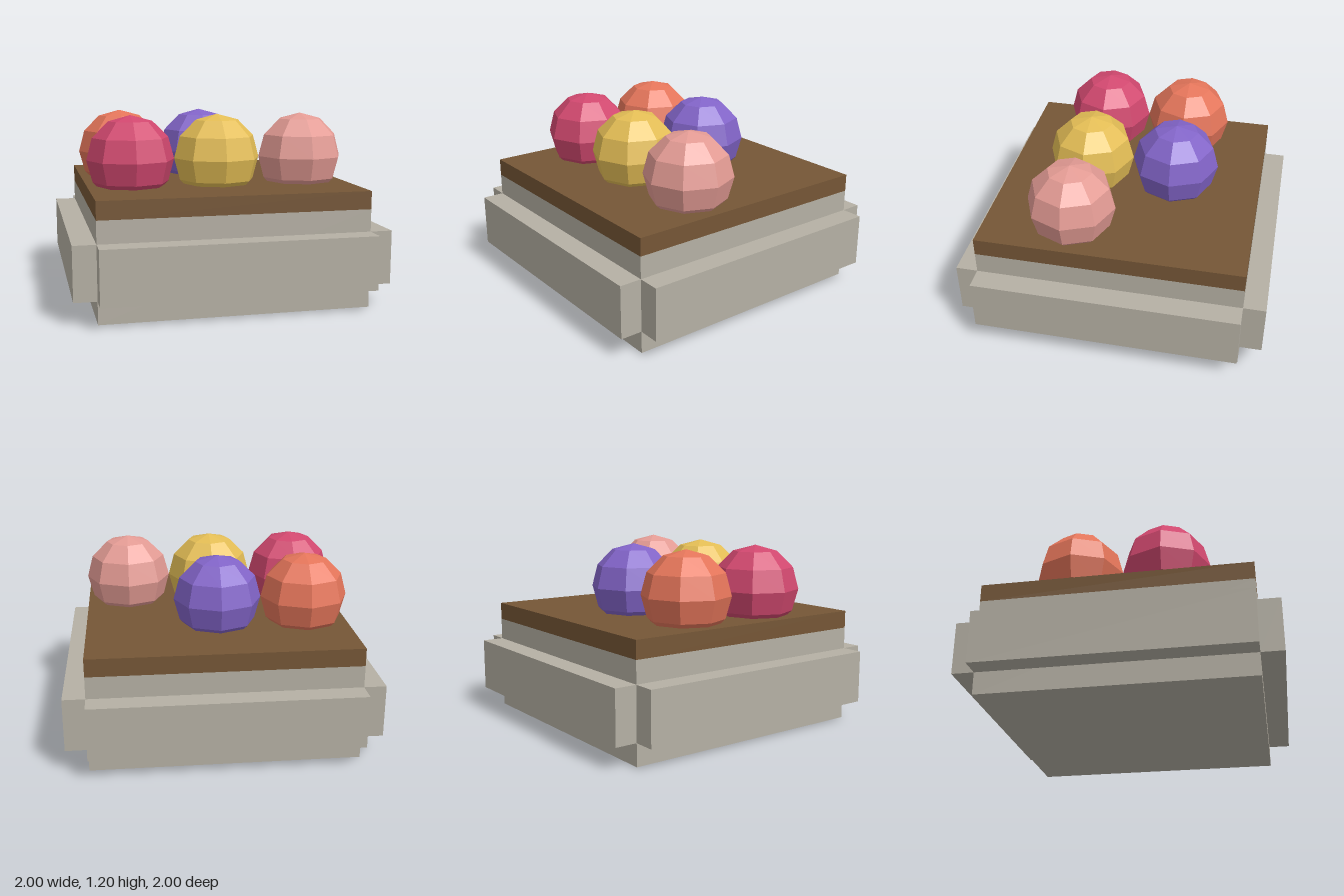
import * as THREE from 'three';

const HALF = 0.857;   // half width of the planter body
const BODY_H = 0.63;
const SOIL_TOP = 0.745;
const BALL_R = 0.286;

function material(color) {
  return new THREE.MeshStandardMaterial({ color, flatShading: true });
}

export function createModel() {
  const model = new THREE.Group();
  model.name = 'planterWithBlooms';

  function add(name, geometry, mat, x, y, z) {
    const mesh = new THREE.Mesh(geometry, mat);
    mesh.name = name;
    mesh.position.set(x, y, z);
    model.add(mesh);
    return mesh;
  }

  // Stone body
  const stone = material(0xb5b0a4);
  add('planterBody', new THREE.BoxGeometry(2 * HALF, BODY_H, 2 * HALF), stone, 0, BODY_H / 2, 0);

  // Raised panel on each of the four sides
  const depth = 1 - HALF;
  const panel = new THREE.BoxGeometry(2 * HALF, 0.343, depth);
  ['front', 'left', 'back', 'right'].forEach((side, i) => {
    const a = (i * Math.PI) / 2;
    const r = HALF + depth / 2;
    add(side + 'Panel', panel, stone, Math.sin(a) * r, 0.316, Math.cos(a) * r).rotation.y = a;
  });

  // Soil layer
  const soilH = SOIL_TOP - BODY_H;
  add('soil', new THREE.BoxGeometry(2 * HALF, soilH, 2 * HALF), material(0x755636), 0, BODY_H + soilH / 2, 0);

  // Faceted round blooms, partly sunk into the soil
  const ball = new THREE.SphereGeometry(BALL_R, 8, 6);
  const blooms = [
    ['crimsonBloom', 0xd1486f, -1, 1],
    ['yellowBloom', 0xe3bd55, 0, 1],
    ['pinkBloom', 0xe39b94, 1, 1],
    ['orangeBloom', 0xe4755a, -1, -1],
    ['purpleBloom', 0x8264c8, 0, -1],
  ];
  for (const [name, color, col, row] of blooms) {
    add(name, ball, material(color), col * 2 * BALL_R, 0.915, row * BALL_R);
  }
  return model;
}
